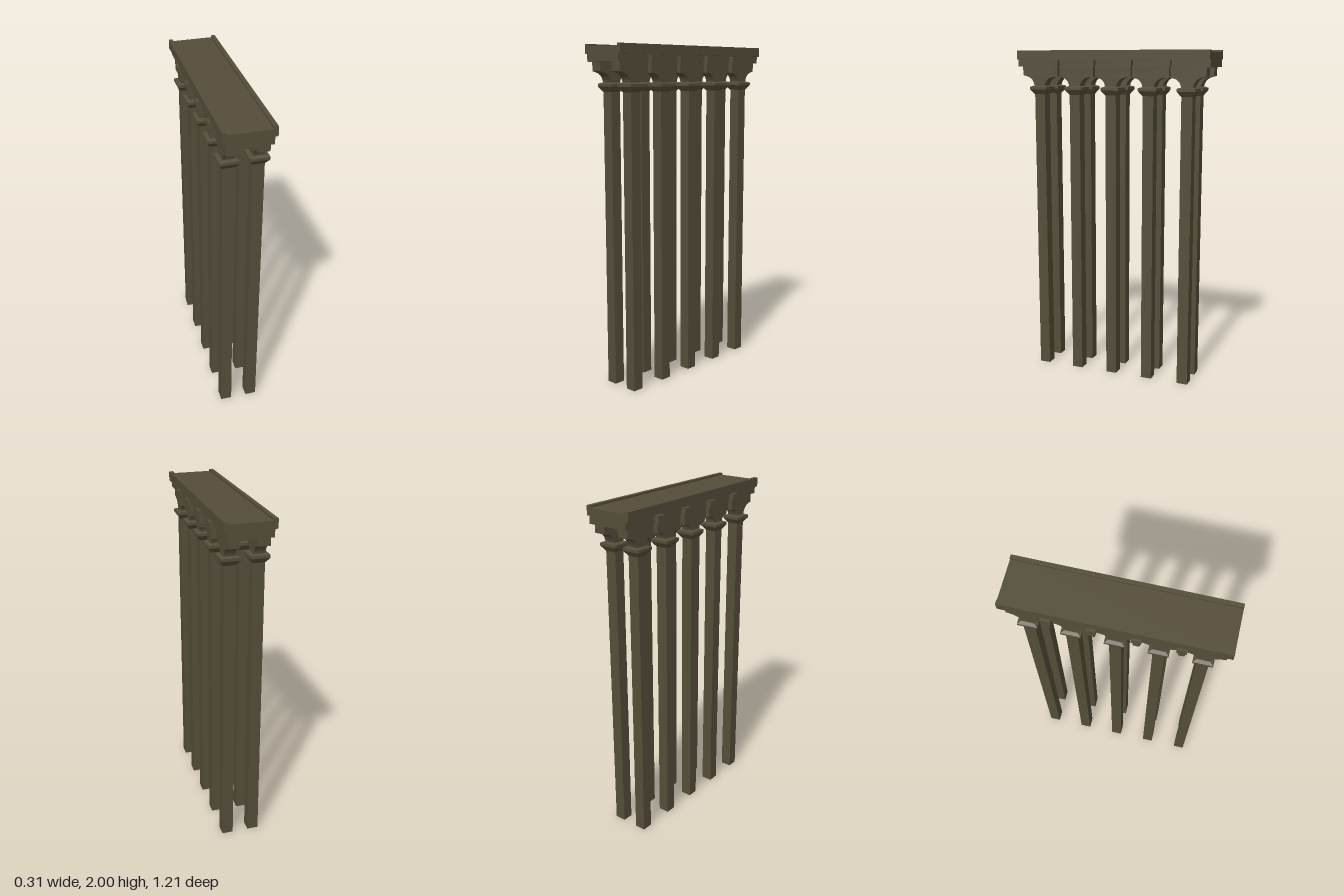
import * as THREE from 'three';

export function createModel() {
  const model = new THREE.Group();
  const stone = new THREE.MeshStandardMaterial({ color: 0x544d39 });
  stone.name = 'dark olive stone';

  const add = (name, geometry, x = 0, y = 0, z = 0) => {
    const mesh = new THREE.Mesh(geometry, stone);
    mesh.name = name;
    mesh.position.set(x, y, z);
    model.add(mesh);
    return mesh;
  };
  const box = (name, w, y0, y1, d, x = 0, z = 0) =>
    add(name, new THREE.BoxGeometry(w, y1 - y0, d), x, (y0 + y1) / 2, z);

  // Four-sided tapered block, given half widths at bottom and top
  const taper = (name, bottom, top, y0, y1, x, z) => {
    const g = new THREE.CylinderGeometry(top * Math.SQRT2, bottom * Math.SQRT2, y1 - y0, 4);
    g.rotateY(Math.PI / 4);
    const flat = g.toNonIndexed();
    flat.computeVertexNormals();
    add(name, flat, x, (y0 + y1) / 2, z);
  };

  const columnZ = [-0.468, -0.234, 0, 0.234, 0.468];
  const bracketZ = [-0.351, -0.117, 0.117, 0.351];

  // Arcade wall outline: curved springers over each column, flat crowns between
  const arcade = new THREE.Shape();
  arcade.moveTo(-0.58, 1.91);
  arcade.lineTo(-0.58, 1.852);
  arcade.lineTo(-0.555, 1.846);
  columnZ.forEach((z, i) => {
    const first = i === 0, last = i === columnZ.length - 1;
    if (!first) arcade.lineTo(z - 0.09, 1.842);
    arcade.quadraticCurveTo(z - 0.042, 1.836, z - 0.034, 1.785);
    arcade.lineTo(z + 0.034, 1.785);
    arcade.quadraticCurveTo(z + 0.042, 1.836, z + (last ? 0.087 : 0.09), last ? 1.846 : 1.842);
  });
  arcade.lineTo(0.58, 1.852);
  arcade.lineTo(0.58, 1.91);
  arcade.closePath();
  const wallDepth = 0.066;
  const wall = new THREE.ExtrudeGeometry(arcade, { depth: wallDepth, bevelEnabled: false, curveSegments: 5 });
  wall.translate(0, 0, -wallDepth / 2);
  wall.rotateY(-Math.PI / 2);

  for (const side of [-1, 1]) {
    const x = side * 0.081;
    add('arcadeWall', wall, x);

    // Columns and flared capitals
    for (const z of columnZ) {
      box('columnShaft', 0.066, 0, 1.75, 0.066, x, z);
      taper('capitalFlare', 0.034, 0.055, 1.738, 1.767, x, z);
      box('capitalLip', 0.11, 1.767, 1.783, 0.11, x, z);
      taper('capitalTop', 0.055, 0.036, 1.783, 1.79, x, z);
    }

    // Brackets over the arch crowns
    for (const z of bracketZ) {
      box('bracketStem', 0.05, 1.845, 1.91, 0.036, side * 0.116, z);
      box('bracketHead', 0.05, 1.908, 1.942, 0.054, side * 0.13, z);
    }

    // Raised rim along the deck edge
    box('deckRim', 0.024, 1.98, 2, 1.21, side * 0.131);
  }

  // Lintel and deck
  box('lintel', 0.252, 1.903, 1.948, 1.21);
  box('deck', 0.286, 1.946, 1.988, 1.21);

  return model;
}
